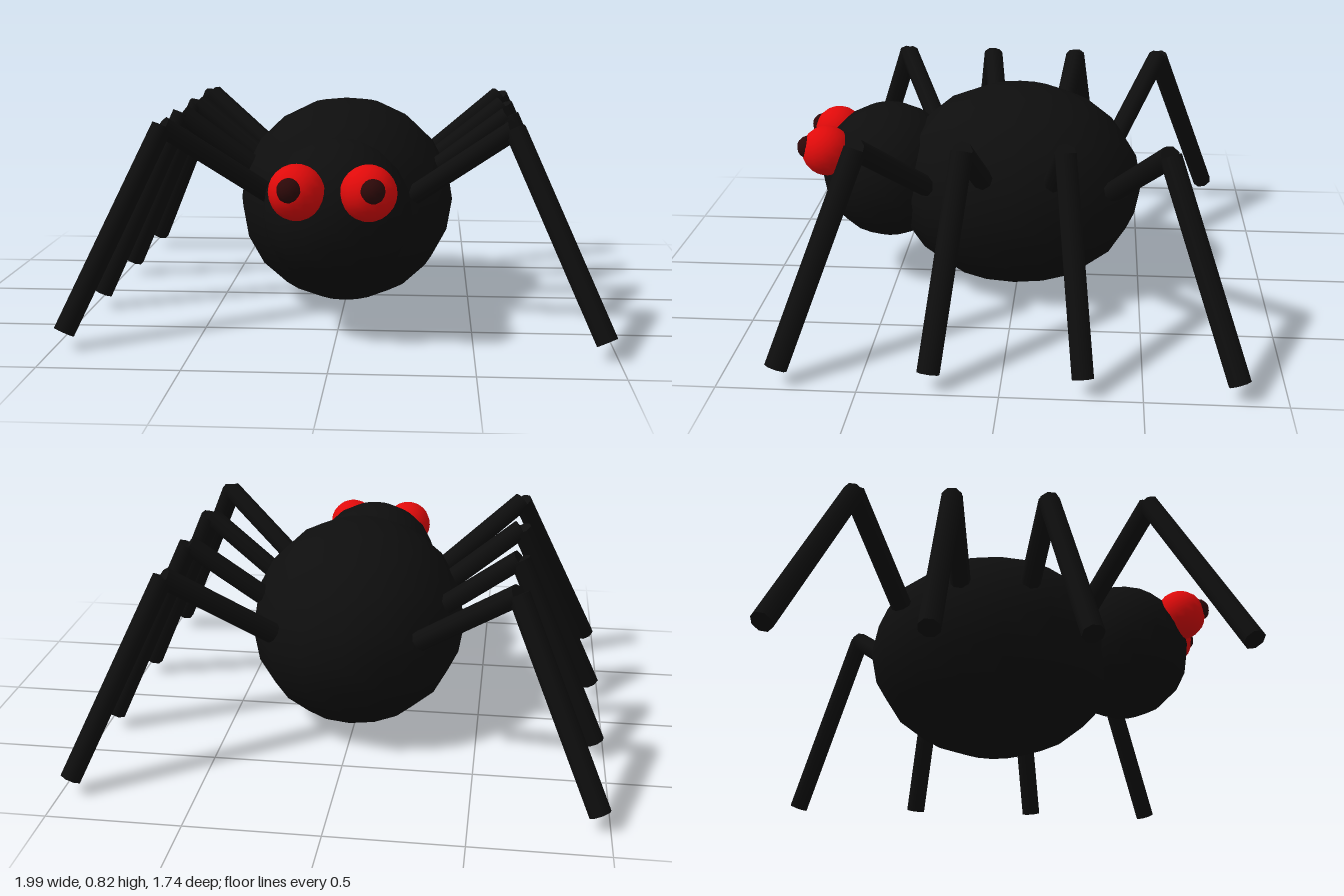
import * as THREE from 'three';

export function createModel() {
  const model = new THREE.Group();
  model.name = 'spider';

  const material = (name, color) => {
    const m = new THREE.MeshStandardMaterial({ color });
    m.name = name;
    return m;
  };
  const black = material('black', 0x0e0e0e);
  const red = material('red', 0xe00a0a);
  const darkRed = material('dark red', 0x2c0808);

  // Low-poly ellipsoid with smooth normals
  const ball = (name, mat, centre, radii, sides = 16, rings = 10) => {
    const geometry = new THREE.SphereGeometry(1, sides, rings);
    geometry.scale(...radii);
    const mesh = new THREE.Mesh(geometry, mat);
    mesh.name = name;
    mesh.position.set(...centre);
    model.add(mesh);
  };

  // Straight capped rod between two points
  const rod = (name, a, b, radius) => {
    const dir = b.clone().sub(a);
    const mesh = new THREE.Mesh(new THREE.CylinderGeometry(radius, radius, dir.length(), 8), black);
    mesh.name = name;
    mesh.position.copy(a).addScaledVector(dir, 0.5);
    mesh.quaternion.setFromUnitVectors(new THREE.Vector3(0, 1, 0), dir.normalize());
    return mesh;
  };

  // Body and head
  ball('abdomen', black, [0, 0.415, 0], [0.43, 0.41, 0.5]);
  ball('head', black, [0, 0.46, 0.525], [0.275, 0.275, 0.275]);

  // z of hip, knee and foot for each leg, front to back
  const legs = [
    [0.335, 0.535, 0.79],
    [0.095, 0.155, 0.25],
    [-0.145, -0.21, -0.29],
    [-0.385, -0.575, -0.83],
  ];

  for (const side of [1, -1]) {
    const label = side > 0 ? 'left' : 'right';

    // Eyes with raised pupils
    ball(label + 'Eye', red, [side * 0.126, 0.578, 0.755], [0.1, 0.1, 0.1], 16, 12);
    ball(label + 'Pupil', darkRed, [side * 0.142, 0.596, 0.825], [0.046, 0.046, 0.046], 12, 10);

    // Bent legs
    legs.forEach(([hipZ, kneeZ, footZ], i) => {
      const hip = new THREE.Vector3(side * 0.28, 0.495, hipZ);
      const knee = new THREE.Vector3(side * 0.64, 0.775, kneeZ);
      const foot = new THREE.Vector3(side * 0.96, 0.066, footZ);
      const leg = new THREE.Group();
      leg.name = label + 'Leg' + (i + 1);
      leg.add(rod('upperLeg', hip, knee, 0.04), rod('lowerLeg', knee, foot, 0.041));
      model.add(leg);
    });
  }
  return model;
}
